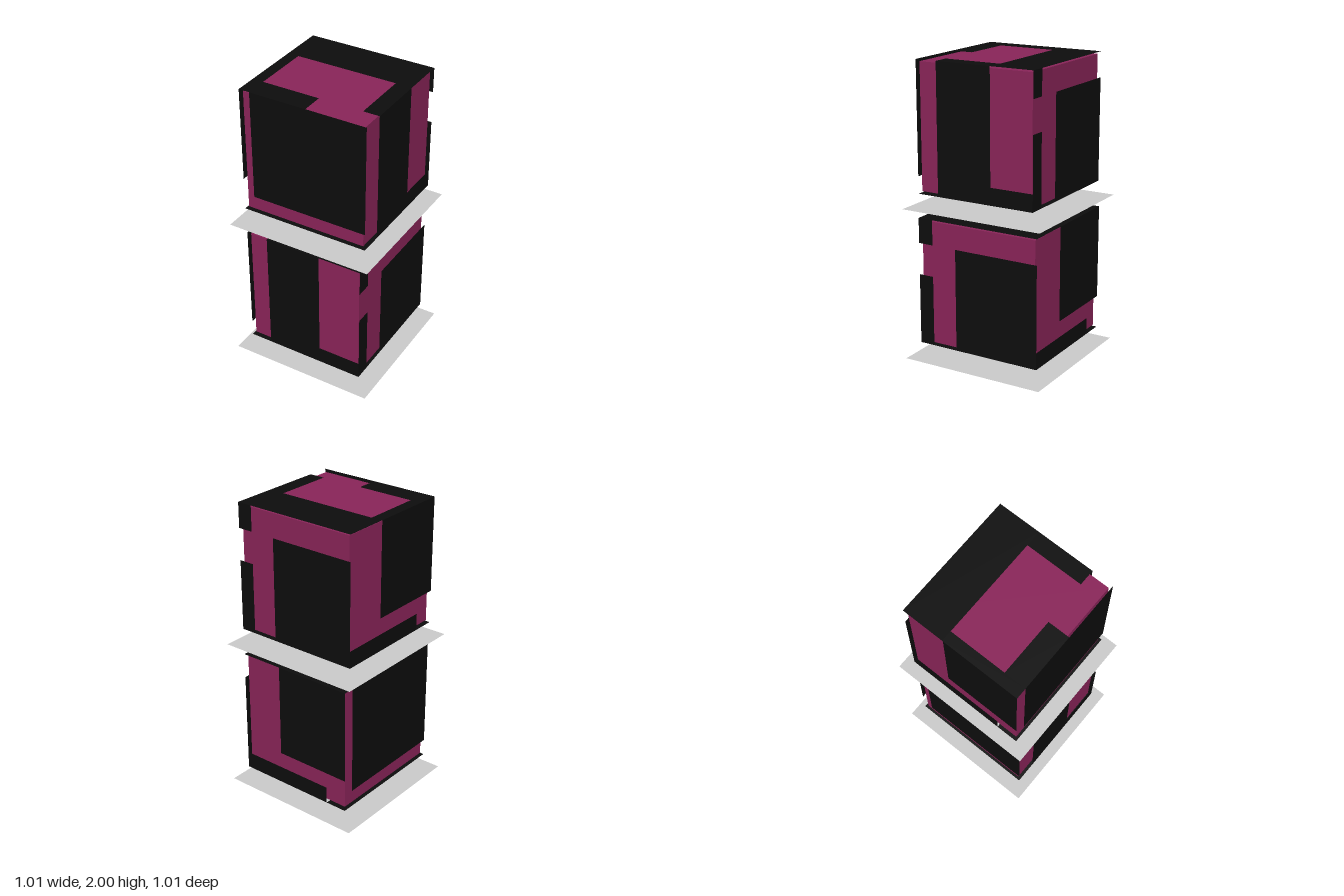
import * as THREE from 'three';

const black = new THREE.MeshStandardMaterial({ color: 0x0d0d0d, side: THREE.DoubleSide });
const purple = new THREE.MeshStandardMaterial({ color: 0x8a2459 });
const grey = new THREE.MeshStandardMaterial({ color: 0xcccccc, side: THREE.DoubleSide });

// Shell half sizes and heights, measured from the base sheet
const X = 0.42, Z = 0.44, Y0 = 0.10, Y1 = 0.965;

// Each shell side: fixed axis, its position, and rectangles [u0, u1, v0, v1]
// (u, v) = (x, y) on the z sides, (z, y) on the x sides, (x, z) on top and bottom
const sides = [
  { name: 'frontPanel', axis: 'z', at: Z, rects: [
    [-0.27, 0.12, Y0, Y1], [0.12, X, Y0, 0.215]] },
  { name: 'backPanel', axis: 'z', at: -Z, rects: [
    [-X, 0.12, 0.325, Y1], [-0.27, X, Y0, 0.215]] },
  { name: 'leftPanel', axis: 'x', at: X, rects: [
    [0.335, Z, Y0, 0.58], [0.335, Z, 0.795, Y1], [-Z, 0.16, Y0, 0.795]] },
  { name: 'rightPanel', axis: 'x', at: -X, rects: [
    [-0.365, Z, 0.215, Y1]] },
  { name: 'topPanel', axis: 'y', at: Y1, rects: [
    [0.125, X, -Z, Z], [-X, 0.125, -Z, -0.365],
    [-0.27, 0.125, 0.33, Z], [-X, -0.27, -0.365, 0.03]] },
  { name: 'bottomPanel', axis: 'y', at: Y0, rects: [
    [0.125, X, -Z, Z], [-X, -0.27, -Z, Z], [-0.27, 0.125, 0.33, Z]] },
];

// Flat rectangle lying on one side of the shell
function sheet({ axis, at }, [u0, u1, v0, v1]) {
  const mesh = new THREE.Mesh(new THREE.PlaneGeometry(u1 - u0, v1 - v0), black);
  const u = (u0 + u1) / 2, v = (v0 + v1) / 2, sign = at < 0 ? -1 : 1;
  if (axis === 'z') {
    mesh.position.set(u, v, at);
    if (sign < 0) mesh.rotation.y = Math.PI;
  } else if (axis === 'x') {
    mesh.position.set(at, v, u);
    mesh.rotation.y = sign * Math.PI / 2;
  } else {
    mesh.position.set(u, at, v);
    mesh.rotation.x = (at === Y1 ? -1 : 1) * Math.PI / 2;
  }
  return mesh;
}

// One block: grey base sheet, purple core, black shell panels with openings
function block(name) {
  const group = new THREE.Group();
  group.name = name;

  const base = new THREE.Mesh(new THREE.PlaneGeometry(1.01, 1.01), grey);
  base.name = 'baseSheet';
  base.rotation.x = -Math.PI / 2;

  const core = new THREE.Mesh(new THREE.BoxGeometry(0.81, 0.835, 0.84), purple);
  core.name = 'core';
  core.position.y = 0.5325;
  group.add(base, core);

  for (const side of sides) {
    const panel = new THREE.Group();
    panel.name = side.name;
    side.rects.forEach((r, i) => {
      const mesh = sheet(side, r);
      mesh.name = `${side.name}Sheet${i + 1}`;
      panel.add(mesh);
    });
    group.add(panel);
  }
  return group;
}

export function createModel() {
  const model = new THREE.Group();
  model.name = 'stackedBlocks';

  // The upper block is the lower one given a quarter turn
  const lower = block('lowerBlock');
  const upper = block('upperBlock');
  upper.position.y = 1.035;
  upper.rotation.y = Math.PI / 2;

  model.add(lower, upper);
  return model;
}
